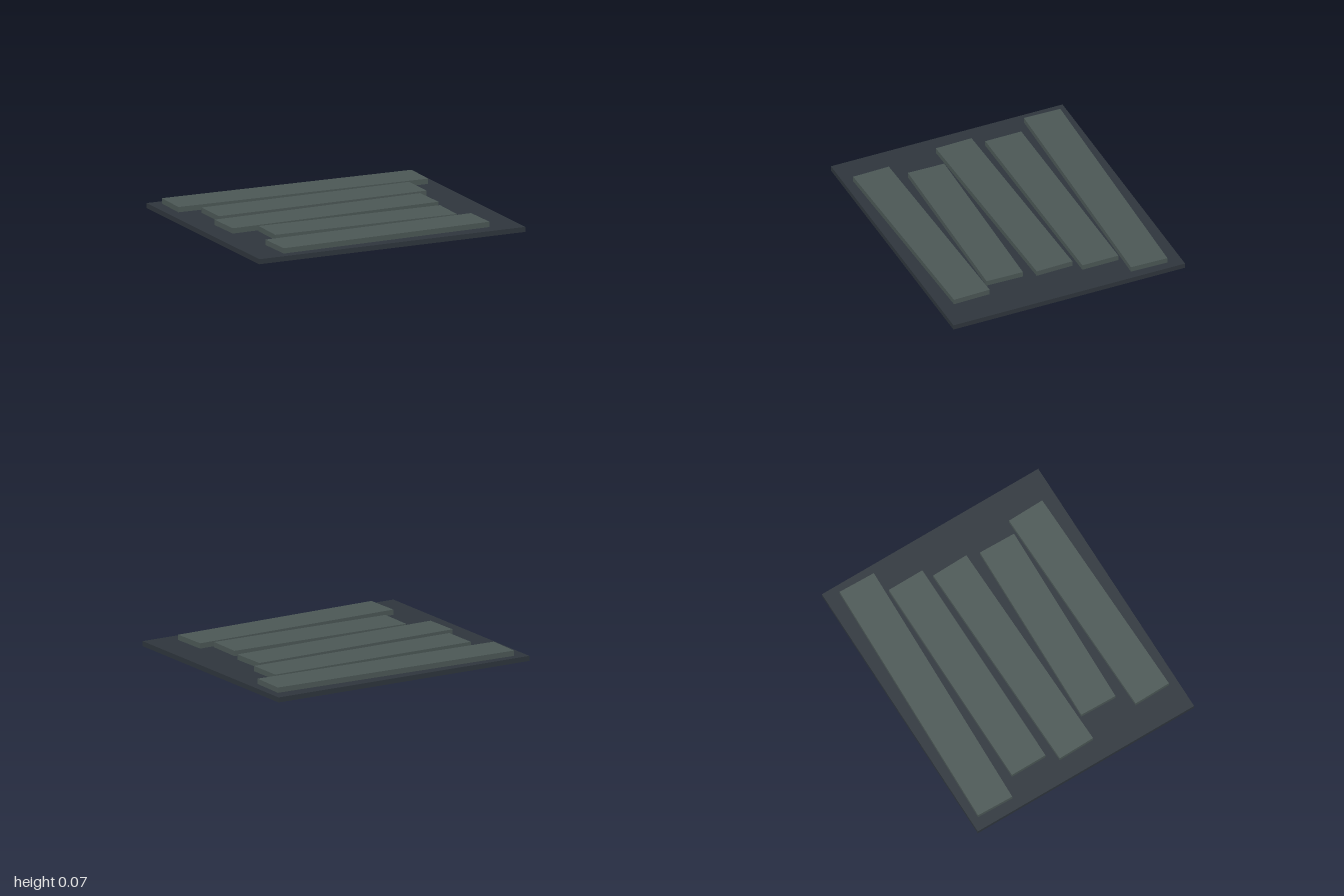
import * as THREE from 'three';

export function createModel() {
  const group = new THREE.Group();
  const slate = new THREE.MeshStandardMaterial({ color: 0x2e353c });
  slate.name = 'dark slate';
  const plank = new THREE.MeshStandardMaterial({ color: 0x4b5755 });
  plank.name = 'grey green';

  const baseHeight = 0.035, plankHeight = 0.037, plankWidth = 0.267;

  // Flat backing panel
  const base = new THREE.Mesh(new THREE.BoxGeometry(2, baseHeight, 1.714), slate);
  base.name = 'basePanel';
  base.position.y = baseHeight / 2;
  group.add(base);

  // Uneven planks, back to front: centre x, centre z, length, turn about y
  const planks = [
    [0.01, -0.644, 1.855, -0.026],
    [-0.004, -0.326, 1.565, 0.006],
    [-0.07, -0.003, 1.565, 0.024],
    [0.006, 0.318, 1.35, -0.022],
    [-0.004, 0.639, 1.565, 0.024],
  ];
  planks.forEach(([x, z, length, turn], i) => {
    const mesh = new THREE.Mesh(new THREE.BoxGeometry(length, plankHeight, plankWidth), plank);
    mesh.name = `plank${i + 1}`;
    mesh.position.set(x, baseHeight + plankHeight / 2, z);
    mesh.rotation.y = turn;
    group.add(mesh);
  });

  return group;
}
